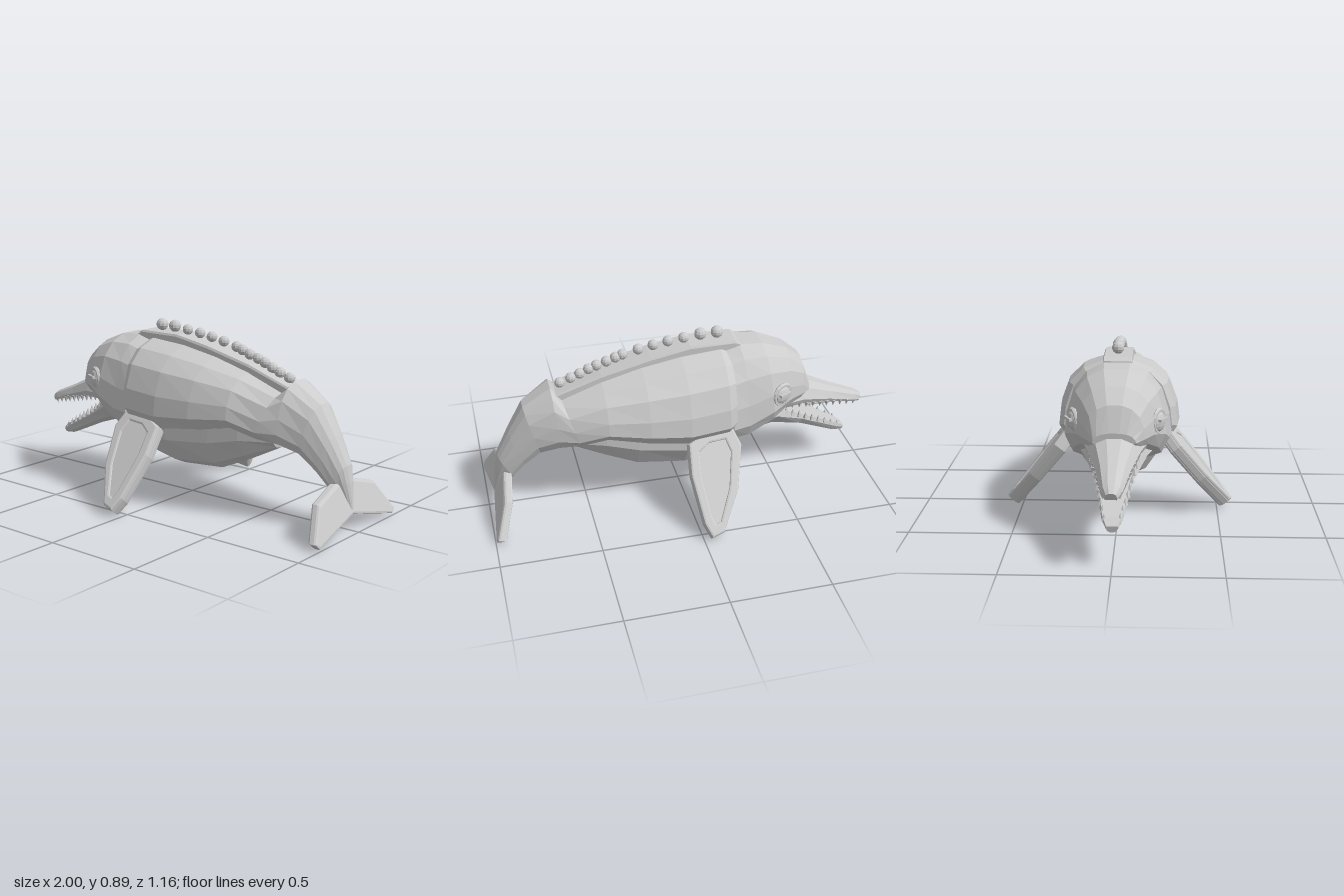
import * as THREE from 'three';

const mat = new THREE.MeshStandardMaterial({ color: 0xcccccc, flatShading: true });

// Half cross-sections: u = share of half width, v = 0 at the bottom, 1 at the top
const BODY = [[0.25, 1], [0.58, 0.91], [0.82, 0.74], [0.96, 0.47], [1, 0.24], [0.85, 0.08], [0.4, 0]];
const BELLY = [[0.3, 1], [1, 0.8], [1, 0.52], [0.68, 0.13], [0.3, 0]];
const BEAK = [[0.3, 1], [0.75, 0.78], [1, 0.3], [0.9, 0.05]];
const JAW = [[0.9, 1], [1, 0.7], [0.75, 0.2], [0.35, 0]];
const SLAB = [[0.92, 1], [1, 0.85], [1, 0]];

// Closed loft; each section is [topX, topY, bottomX, bottomY, halfWidth]
function loft(name, half, sections) {
  const ring = [...half, ...half.map(([u, v]) => [-u, v]).reverse()];
  const n = ring.length, pos = [], idx = [];
  for (const [tx, ty, bx, by, w] of sections) {
    for (const [u, v] of ring) pos.push(bx + (tx - bx) * v, by + (ty - by) * v, u * w);
  }
  for (let i = 0; i < sections.length - 1; i++) {
    for (let j = 0; j < n; j++) {
      const a = i * n + j, b = i * n + (j + 1) % n;
      idx.push(a, b, b + n, a, b + n, a + n);
    }
  }
  const e = (sections.length - 1) * n;
  for (let j = 1; j < n - 1; j++) idx.push(0, j + 1, j, e, e + j, e + j + 1);
  const g = new THREE.BufferGeometry();
  g.setAttribute('position', new THREE.Float32BufferAttribute(pos, 3));
  g.setIndex(idx);
  g.computeVertexNormals();
  return mesh(name, g);
}

function mesh(name, geometry) {
  const m = new THREE.Mesh(geometry, mat);
  m.name = name;
  return m;
}

const toVectors = (pts) => pts.map(([x, y]) => new THREE.Vector2(x, y));

// Bevelled slab centred on its own thickness
function slab(shape, thickness, bevel) {
  const depth = thickness - 2 * bevel;
  return new THREE.ExtrudeGeometry(shape, {
    depth, bevelEnabled: true, bevelThickness: bevel, bevelSize: bevel, bevelSegments: 2, curveSegments: 4,
  }).translate(0, 0, -depth / 2);
}

// Flipper with a raised rim, sloping down and outwards
function flipper(side) {
  const outline = [[-0.21, -0.03], [-0.08, -0.02], [0.005, 0.03], [0.015, 0.18], [-0.015, 0.42],
    [-0.04, 0.48], [-0.09, 0.465], [-0.19, 0.27], [-0.24, 0.06]];
  const rim = new THREE.Shape(toVectors(outline));
  const inner = outline.map(([x, l]) => [-0.1 + (x + 0.1) * 0.72, 0.23 + (l - 0.23) * 0.84]);
  rim.holes.push(new THREE.Path(toVectors(inner)));
  const group = new THREE.Group();
  group.name = side > 0 ? 'leftFlipper' : 'rightFlipper';
  group.add(mesh('flipperBlade', slab(new THREE.Shape(toVectors(outline)), 0.054, 0.012)));
  group.add(mesh('flipperRim', slab(rim, 0.07, 0.01)));
  const x = new THREE.Vector3(1, 0, 0);
  const y = new THREE.Vector3(0, -0.785, 0.62 * side).normalize();
  group.quaternion.setFromRotationMatrix(new THREE.Matrix4().makeBasis(x, y, x.clone().cross(y)));
  group.position.set(0, 0.41, 0.25 * side);
  return group;
}

// Tail fluke: outline in the z-y plane, leaning back towards its lower edge
function fluke(side) {
  const pts = [[0, 0.1], [0.32, 0.025], [0.335, 0.04], [0.235, 0.175], [0.08, 0.22], [0, 0.24]];
  const shape = new THREE.Shape(toVectors(pts.map(([z, y]) => [-z * side, y])));
  const g = slab(shape, 0.045, 0.012).rotateY(Math.PI / 2);
  const p = g.attributes.position;
  for (let i = 0; i < p.count; i++) p.setX(i, p.getX(i) + 0.895 + (0.23 - p.getY(i)) * 0.38);
  g.computeVertexNormals();
  return mesh(side > 0 ? 'leftFluke' : 'rightFluke', g);
}

// Row of teeth along both edges of a jaw
function teeth(name, from, to, count, up) {
  const group = new THREE.Group();
  group.name = name;
  const a = new THREE.Vector3(...from), b = new THREE.Vector3(...to);
  for (const side of [1, -1]) {
    for (let i = 0; i < count; i++) {
      const t = mesh('tooth', new THREE.ConeGeometry(0.014, 0.035, 5));
      t.position.lerpVectors(a, b, i / (count - 1));
      t.position.z *= side;
      if (!up) t.rotation.x = Math.PI;
      group.add(t);
    }
  }
  return group;
}

function eye(side) {
  const group = new THREE.Group();
  group.name = side > 0 ? 'leftEye' : 'rightEye';
  const ball = mesh('eyeball', new THREE.SphereGeometry(0.05, 12, 8));
  ball.scale.z = 0.5;
  const lid = mesh('eyelid', new THREE.TorusGeometry(0.053, 0.012, 6, 14));
  const slit = mesh('eyeSlit', new THREE.BoxGeometry(0.07, 0.012, 0.02));
  slit.position.set(0, 0.012, 0.022 * side);
  group.add(ball, lid, slit);
  group.position.set(-0.49, 0.57, 0.2 * side);
  group.rotation.y = -0.45 * side;
  return group;
}

export function createModel() {
  const model = new THREE.Group();
  model.name = 'dolphin';

  // Back shell running into the tail stock
  model.add(loft('body', BODY, [
    [-0.24, 0.785, -0.24, 0.39, 0.265], [-0.2, 0.8, -0.2, 0.37, 0.292], [0, 0.785, 0, 0.36, 0.305],
    [0.2, 0.75, 0.2, 0.39, 0.287], [0.4, 0.7, 0.4, 0.43, 0.247], [0.6, 0.63, 0.52, 0.39, 0.2],
    [0.65, 0.685, 0.63, 0.37, 0.165], [0.79, 0.59, 0.72, 0.34, 0.125], [0.87, 0.45, 0.8, 0.27, 0.095],
    [0.935, 0.32, 0.86, 0.2, 0.07], [0.95, 0.24, 0.88, 0.18, 0.05], [0.965, 0.11, 0.94, 0.09, 0.012],
  ]));
  model.add(loft('belly', BELLY, [
    [-0.29, 0.42, -0.29, 0.25, 0.15], [-0.2, 0.46, -0.2, 0.22, 0.2], [0, 0.46, 0, 0.175, 0.215],
    [0.24, 0.48, 0.24, 0.19, 0.18], [0.4, 0.48, 0.4, 0.26, 0.15], [0.58, 0.42, 0.57, 0.345, 0.1],
  ]));

  // Head, beak and jaw
  model.add(loft('head', BODY, [
    [-0.675, 0.56, -0.67, 0.5, 0.1], [-0.635, 0.68, -0.62, 0.47, 0.14], [-0.55, 0.75, -0.54, 0.45, 0.185],
    [-0.42, 0.8, -0.45, 0.4, 0.237], [-0.3, 0.81, -0.32, 0.33, 0.252], [-0.21, 0.785, -0.23, 0.33, 0.265],
  ]));
  model.add(loft('upperBeak', BEAK, [
    [-1, 0.385, -0.985, 0.35, 0.028], [-0.96, 0.41, -0.95, 0.36, 0.048], [-0.8, 0.475, -0.8, 0.4, 0.078],
    [-0.64, 0.55, -0.64, 0.435, 0.122], [-0.48, 0.57, -0.46, 0.44, 0.17],
  ]));
  model.add(loft('lowerJaw', JAW, [
    [-0.912, 0.205, -0.905, 0.175, 0.028], [-0.87, 0.235, -0.85, 0.183, 0.048], [-0.65, 0.35, -0.65, 0.27, 0.085],
    [-0.5, 0.44, -0.47, 0.33, 0.15], [-0.28, 0.45, -0.27, 0.33, 0.22],
  ]));
  model.add(teeth('upperTeeth', [-0.95, 0.36, 0.038], [-0.58, 0.44, 0.115], 10, false));
  model.add(teeth('lowerTeeth', [-0.87, 0.235, 0.036], [-0.51, 0.435, 0.12], 10, true));

  // Plate along the back, carrying a row of beads
  model.add(loft('backPlate', SLAB, [
    [-0.305, 0.815, -0.305, 0.785, 0.068], [-0.28, 0.832, -0.28, 0.77, 0.07], [-0.05, 0.832, -0.05, 0.76, 0.07],
    [0.15, 0.796, 0.15, 0.72, 0.07], [0.4, 0.735, 0.4, 0.66, 0.07], [0.63, 0.655, 0.61, 0.6, 0.068],
  ]));
  const beads = [[-0.2, 0.862], [-0.115, 0.862], [-0.03, 0.852], [0.05, 0.843], [0.125, 0.832], [0.2, 0.818],
    [0.28, 0.8], [0.315, 0.788], [0.36, 0.772], [0.41, 0.757], [0.45, 0.742], [0.495, 0.722], [0.54, 0.704], [0.595, 0.685]];
  beads.forEach(([x, y], i) => {
    const bead = mesh('bead', new THREE.SphereGeometry(i < 2 ? 0.031 : 0.027, 10, 7));
    bead.position.set(x, y, 0);
    model.add(bead);
  });

  for (const side of [1, -1]) model.add(eye(side), flipper(side), fluke(side));
  return model;
}
